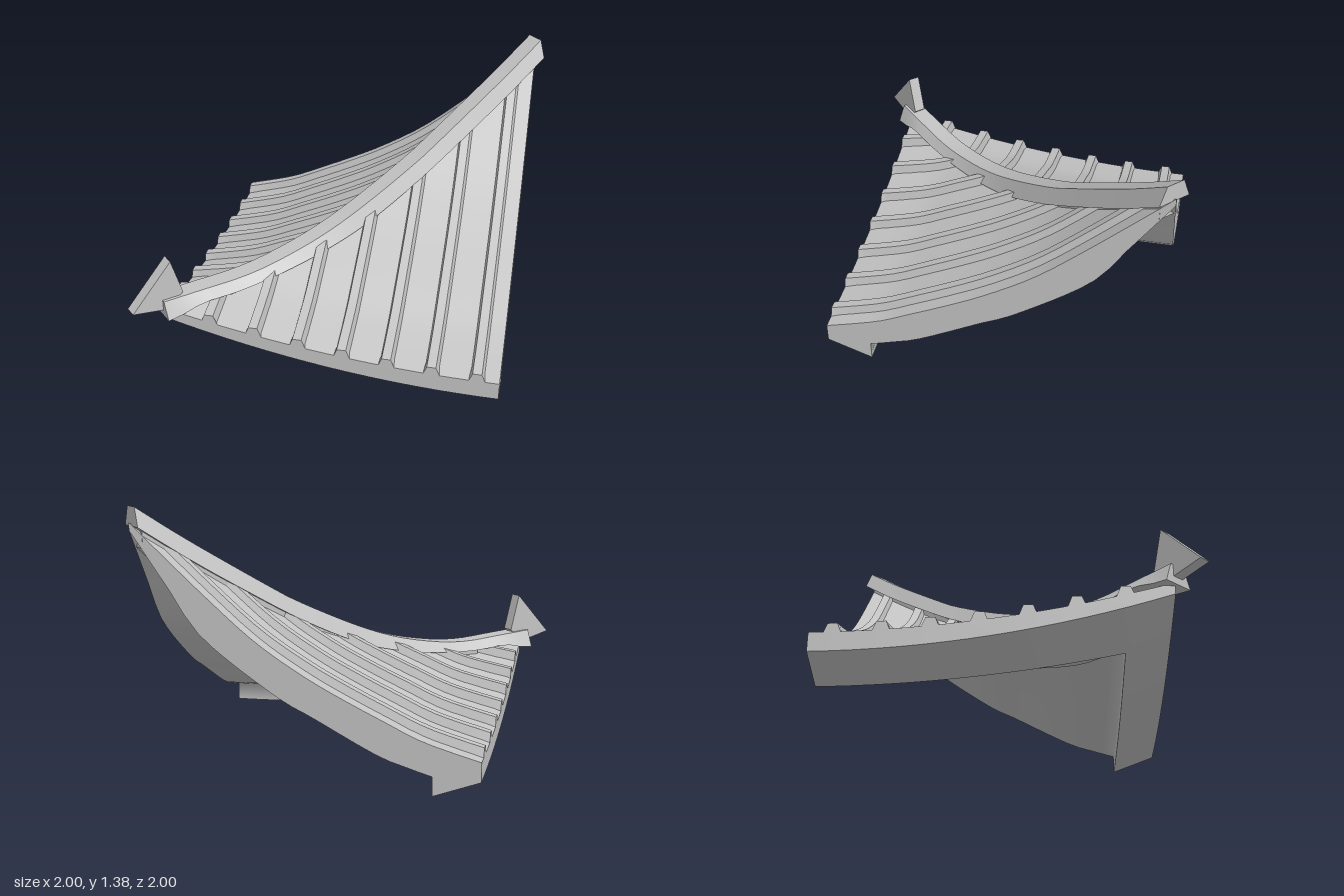
import * as THREE from 'three';
import { toCreasedNormals } from 'three/addons/utils/BufferGeometryUtils.js';

const A = 0.84, B = 0.945, SPAN = A + B;   // eave line and cut edge

// smooth curve through a few (position, height) points, position decreasing
function profile(points) {
  const samples = new THREE.SplineCurve(points.map(p => new THREE.Vector2(...p))).getPoints(150);
  return t => {
    let i = 1;
    while (i < samples.length - 1 && samples[i].x > t) i++;
    const a = samples[i - 1], b = samples[i];
    return THREE.MathUtils.mapLinear(t, a.x, b.x, a.y, b.y);
  };
}

const topProfile = profile([[0.84, 0.19], [0.56, 0.27], [0.36, 0.36], [0.16, 0.455], [-0.04, 0.56],
  [-0.29, 0.72], [-0.54, 0.93], [-0.87, 1.23], [-0.945, 1.3]]);
const underProfile = profile([[0.6, 0.1], [0.48, 0.135], [0.32, 0.19], [0, 0.355], [-0.2, 0.46],
  [-0.57, 0.73], [-0.75, 0.98], [-0.945, 1.26]]);

// both faces sweep upward toward the corner
const sweep = x => ((B - x) / SPAN) ** 2;
const topY = (x, z) => topProfile(z) + 0.23 * (z + B) / SPAN * sweep(x);
const underLift = (x, z) => 0.27 * ((z + B) / SPAN) ** 2 * sweep(x);

// quads between rows of points; closed rows also get end caps
function skin(tris, rows, closed = false) {
  const n = rows[0].length;
  for (let i = 0; i + 1 < rows.length; i++) {
    for (let j = 0; j < (closed ? n : n - 1); j++) {
      const k = (j + 1) % n;
      tris.push([rows[i][j], rows[i][k], rows[i + 1][k]], [rows[i][j], rows[i + 1][k], rows[i + 1][j]]);
    }
  }
  if (!closed) return tris;
  const first = rows[0], last = rows[rows.length - 1];
  for (let j = 1; j + 1 < n; j++) {
    tris.push([first[0], first[j + 1], first[j]], [last[0], last[j], last[j + 1]]);
  }
  return tris;
}

// mirrored copies are reflected across the hip diagonal
function toGeometry(tris, mirrored, crease) {
  const data = [];
  for (const t of tris) {
    const [a, b, c] = t.map(p => new THREE.Vector3(...p));
    if (b.clone().sub(a).cross(c.clone().sub(a)).length() < 1e-8) continue;
    for (const p of mirrored ? [a, c, b] : [a, b, c]) {
      if (mirrored) data.push(-p.z, p.y, -p.x);
      else data.push(p.x, p.y, p.z);
    }
  }
  const g = new THREE.BufferGeometry();
  g.setAttribute('position', new THREE.Float32BufferAttribute(data, 3));
  return toCreasedNormals(g, crease);
}

// one curved roof slope with a thick eave lip: outer shell and soft inner underside
function slopeTris() {
  const stations = [[0.84, 0.09], [0.72, 0.045], [0.6, 0]], lip = stations.length - 1;
  for (let i = 0; i <= 22; i++) {
    const z = THREE.MathUtils.lerp(0.6, -B, i / 22);
    stations.push([z, underProfile(z)]);
  }
  const cols = 16;
  const row = (z, f) => Array.from({ length: cols + 1 }, (_, j) => {
    const x = THREE.MathUtils.lerp(-z, B, j / cols);
    return [x, f(x), z];
  });
  const top = stations.map(([z]) => row(z, x => topY(x, z)));
  const under = stations.map(([z, y]) => row(z, x => y + underLift(x, z)));
  const flipped = under.map(r => [...r].reverse());
  const shell = skin([], top);
  skin(shell, flipped.slice(0, lip + 1));                            // lip underside
  skin(shell, [under[0], top[0]]);                                   // eave face
  skin(shell, [under.map(r => r[cols]), top.map(r => r[cols])]);     // cut end
  return { shell, inner: skin([], flipped.slice(lip)) };
}

// raised tile rib running from the hip down to the eave
function ribTris(xc) {
  const rows = [], steps = 20;
  for (let i = 0; i <= steps; i++) {
    const z = THREE.MathUtils.lerp(-xc, A, i / steps);
    const y = topY(xc, z), flare = i === steps ? 0.008 : 0;
    rows.push([[-0.04 - flare, -0.015], [0.04 + flare, -0.015], [0.024, 0.045], [-0.024, 0.045]]
      .map(([dx, dy]) => [xc + dx, y + dy, z]));
  }
  return skin([], rows, true);
}

// point at s along the hip diagonal, offset w sideways
const onHip = (s, w, y) => [s + w * Math.SQRT1_2, y, -s + w * Math.SQRT1_2];

export function createModel() {
  const group = new THREE.Group();
  const stone = new THREE.MeshStandardMaterial({ color: 0xc4c4c4 });
  stone.name = 'grey stone';
  const add = (name, tris, mirrored = false, crease = 0.55) => {
    const mesh = new THREE.Mesh(toGeometry(tris, mirrored, crease), stone);
    mesh.name = name;
    group.add(mesh);
  };

  for (const mirrored of [false, true]) {
    const side = mirrored ? 'side' : 'front';
    const { shell, inner } = slopeTris();
    add(side + 'Slope', shell, mirrored);
    add(side + 'Underside', inner, mirrored, 1.5);
    for (let i = 0; i < 7; i++) add(side + 'Rib' + (i + 1), ribTris(0.828 - i * 0.238), mirrored);
  }

  // hip ridge with sloping flanks
  const ridgeBase = profile([[0.935, 1.28], [0.74, 1.1], [0.54, 0.93], [0.29, 0.73], [0.035, 0.565],
    [-0.165, 0.485], [-0.365, 0.44], [-0.56, 0.425], [-0.7, 0.435], [-0.79, 0.41], [-0.855, 0.4]]);
  const ridgeTop = profile([[0.935, 1.38], [0.74, 1.2], [0.435, 0.94], [0.29, 0.825], [0.035, 0.66],
    [-0.165, 0.56], [-0.365, 0.5], [-0.52, 0.48], [-0.7, 0.49], [-0.855, 0.5]]);
  const ridge = [], beam = [];
  for (let i = 0; i <= 30; i++) {
    const s = THREE.MathUtils.lerp(0.935, -0.855, i / 30);
    const lo = ridgeBase(s), hi = ridgeTop(s);
    ridge.push([[-0.09, lo], [0.09, lo], [0.05, hi], [-0.05, hi]].map(([w, y]) => onHip(s, w, y)));

    // hip beam hanging just below the slopes
    const b = THREE.MathUtils.lerp(0.91, -0.58, i / 30);
    const under = underProfile(-b) + underLift(b, -b) - 0.04;
    const upper = ridgeBase(b) + 0.01;
    beam.push([[-0.05, under], [0.05, under], [0.05, upper], [-0.05, upper]].map(([w, y]) => onHip(b, w, y)));
  }
  add('hipRidge', skin([], ridge, true));
  add('hipBeam', skin([], beam, true));

  // upturned pointed finial at the eave corner
  const outline = [[-0.975, 0.475], [-0.83, 0.43], [-0.77, 0.51], [-0.81, 0.72]];
  add('cornerFinial', skin([], [-0.033, 0.033].map(w => outline.map(([s, y]) => onHip(s, w, y))), true));

  return group;
}
